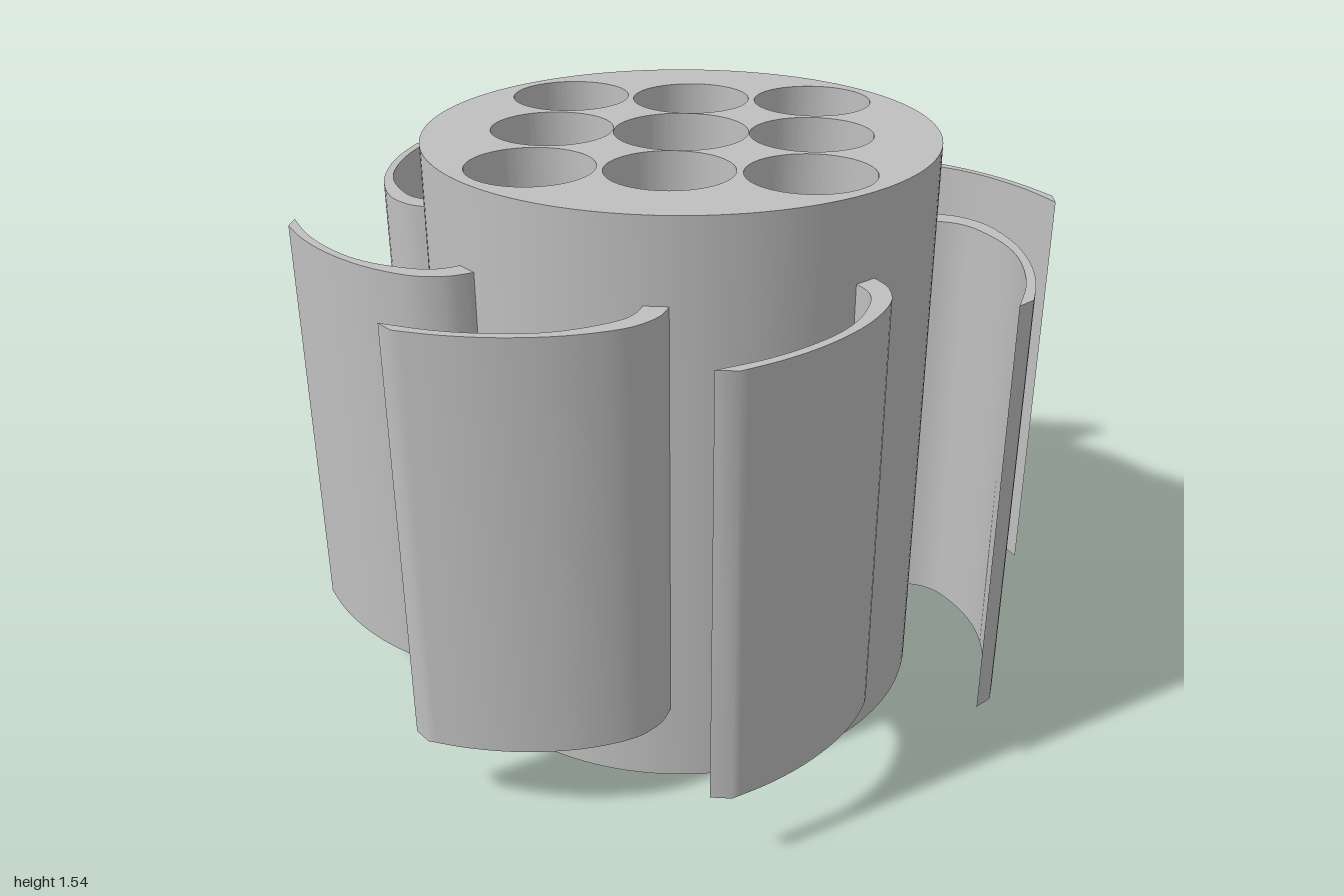
import * as THREE from 'three';
import { toCreasedNormals } from 'three/addons/utils/BufferGeometryUtils.js';

const HEIGHT = 1.545, RADIUS = 0.67;
const BLADE_BOTTOM = 0.215, BLADE_TOP = 1.33;

// Extrudes a shape drawn in plan (x, -z) upwards from y0 to y1
function extrudeUp(shape, y0, y1, curveSegments) {
  const geo = new THREE.ExtrudeGeometry(shape, { depth: y1 - y0, bevelEnabled: false, curveSegments });
  geo.rotateX(-Math.PI / 2);
  geo.translate(0, y0, 0);
  return toCreasedNormals(geo, 0.6);
}

function circle(x, y, r) {
  const path = new THREE.Path();
  path.absarc(x, y, r, 0, Math.PI * 2, true);
  return path;
}

export function createModel() {
  const model = new THREE.Group();
  const grey = new THREE.MeshStandardMaterial({ color: 0xc0c0c0 });
  grey.name = 'grey';

  const add = (name, geo) => {
    const mesh = new THREE.Mesh(geo, grey);
    mesh.name = name;
    model.add(mesh);
    return mesh;
  };

  // Chamber centres: a square grid turned by 45 degrees
  const chambers = [];
  for (let i = 0; i < 8; i++) {
    const a = i * Math.PI / 4, r = i % 2 ? 0.337 : 0.476;
    chambers.push([r * Math.cos(a), r * Math.sin(a)]);
  }

  // Drum with the central bore and eight wide chambers
  const drum = new THREE.Shape();
  drum.absarc(0, 0, RADIUS, 0, Math.PI * 2, false);
  drum.holes.push(circle(0, 0, 0.175));
  for (const [x, y] of chambers) drum.holes.push(circle(x, y, 0.16));
  add('drum', extrudeUp(drum, 0, HEIGHT, 72));

  // Narrower sleeve inside each chamber
  const profile = [[0.16, BLADE_TOP], [0.09, BLADE_TOP], [0.09, BLADE_BOTTOM], [0.16, BLADE_BOTTOM]]
    .map(([x, y]) => new THREE.Vector2(x, y));
  const sleeve = toCreasedNormals(new THREE.LatheGeometry(profile, 72), 0.6);
  for (const [x, y] of chambers) add('chamberSleeve', sleeve).position.set(x, 0, -y);

  // Curved blade: outer edge out to the tip, inner edge back to the drum
  const points = (list) => list.map(([x, z]) => new THREE.Vector2(x, -z));
  const outer = new THREE.SplineCurve(points([
    [0.655, -0.03], [0.69, -0.024], [0.74, -0.004], [0.80, 0.057], [0.85, 0.18],
    [0.872, 0.32], [0.869, 0.45], [0.85, 0.562]])).getPoints(28);
  const inner = new THREE.SplineCurve(points([
    [0.813, 0.60], [0.842, 0.48], [0.851, 0.37], [0.843, 0.26], [0.813, 0.166],
    [0.758, 0.077], [0.71, 0.042], [0.655, 0.03]])).getPoints(28);
  const bladeGeo = extrudeUp(new THREE.Shape([...outer, ...inner]), BLADE_BOTTOM, BLADE_TOP, 1);
  for (let i = 0; i < 8; i++) add('blade', bladeGeo).rotation.y = i * Math.PI / 4;

  return model;
}
